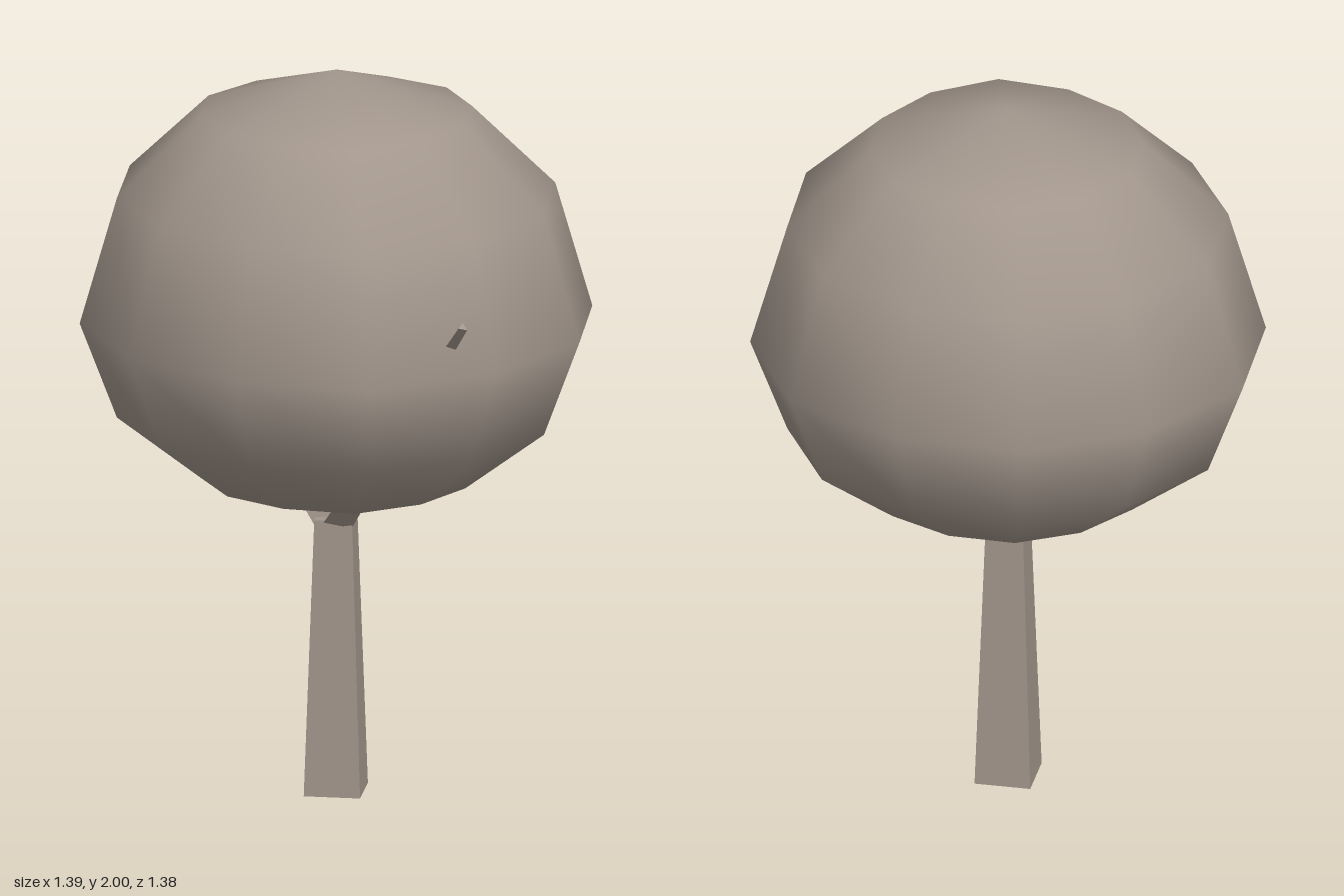
import * as THREE from 'three';
import { mergeVertices } from 'three/addons/utils/BufferGeometryUtils.js';

const AXIS_X = -0.03;

// Faceted normals without changing the material
function faceted(geometry) {
  const g = geometry.toNonIndexed();
  g.computeVertexNormals();
  return g;
}

// Tapered prism running from one point to another
function limb(from, to, r0, r1, sides) {
  const a = new THREE.Vector3(...from);
  const dir = new THREE.Vector3(...to).sub(a);
  const g = new THREE.CylinderGeometry(r1, r0, dir.length(), sides);
  g.translate(0, dir.length() / 2, 0);
  g.applyQuaternion(new THREE.Quaternion().setFromUnitVectors(
    new THREE.Vector3(0, 1, 0), dir.normalize()));
  g.translate(a.x, a.y, a.z);
  return faceted(g);
}

// Twelve-sided crown, flatter below its widest ring and slightly irregular
function crownGeometry() {
  const heights = [2.0, 1.885, 1.665, 1.32, 1.055, 0.88, 0.81];
  const widths = [0, 0.53, 0.855, 1, 0.855, 0.53, 0];
  const radii = [0.7, 0.73, 0.69, 0.69, 0.69, 0.7, 0.67, 0.67, 0.66, 0.69, 0.685, 0.7];
  const g = new THREE.SphereGeometry(1, 12, 6);
  const p = g.attributes.position;
  for (let i = 0; i < p.count; i++) {
    const ring = Math.round(Math.acos(THREE.MathUtils.clamp(p.getY(i), -1, 1)) / (Math.PI / 6));
    const k = (Math.round(Math.atan2(p.getZ(i), p.getX(i)) / (Math.PI / 6)) + 12) % 12;
    const r = radii[k] * widths[ring];
    const a = k * Math.PI / 6;
    p.setXYZ(i, AXIS_X + r * Math.cos(a), heights[ring], r * Math.sin(a));
  }
  // Weld the seam and poles so the shading is smooth all round
  g.deleteAttribute('uv');
  g.deleteAttribute('normal');
  const welded = mergeVertices(g, 1e-4);
  welded.computeVertexNormals();
  return welded;
}

export function createModel() {
  const model = new THREE.Group();
  model.name = 'tree';
  const bark = new THREE.MeshStandardMaterial({ color: 0xa2968c });
  bark.name = 'warm grey';

  const add = (name, geometry) => {
    const mesh = new THREE.Mesh(geometry, bark);
    mesh.name = name;
    model.add(mesh);
  };

  // Square trunk with one corner facing forward
  add('trunk', limb([AXIS_X - 0.005, 0, 0], [AXIS_X - 0.005, 0.76, 0], 0.107, 0.072, 4));

  // Three-sided branches, two of which poke out of the crown
  add('leftBranch', limb([0.0, 0.765, 0.02], [0.685, 1.475, 0.12], 0.046, 0.014, 3));
  add('frontBranch', limb([-0.06, 0.76, 0.015], [-0.41, 1.655, 0.42], 0.046, 0.012, 3));
  add('backBranch', limb([-0.05, 0.76, -0.025], [-0.3, 1.4, -0.35], 0.046, 0.014, 3));

  add('crown', crownGeometry());
  return model;
}
